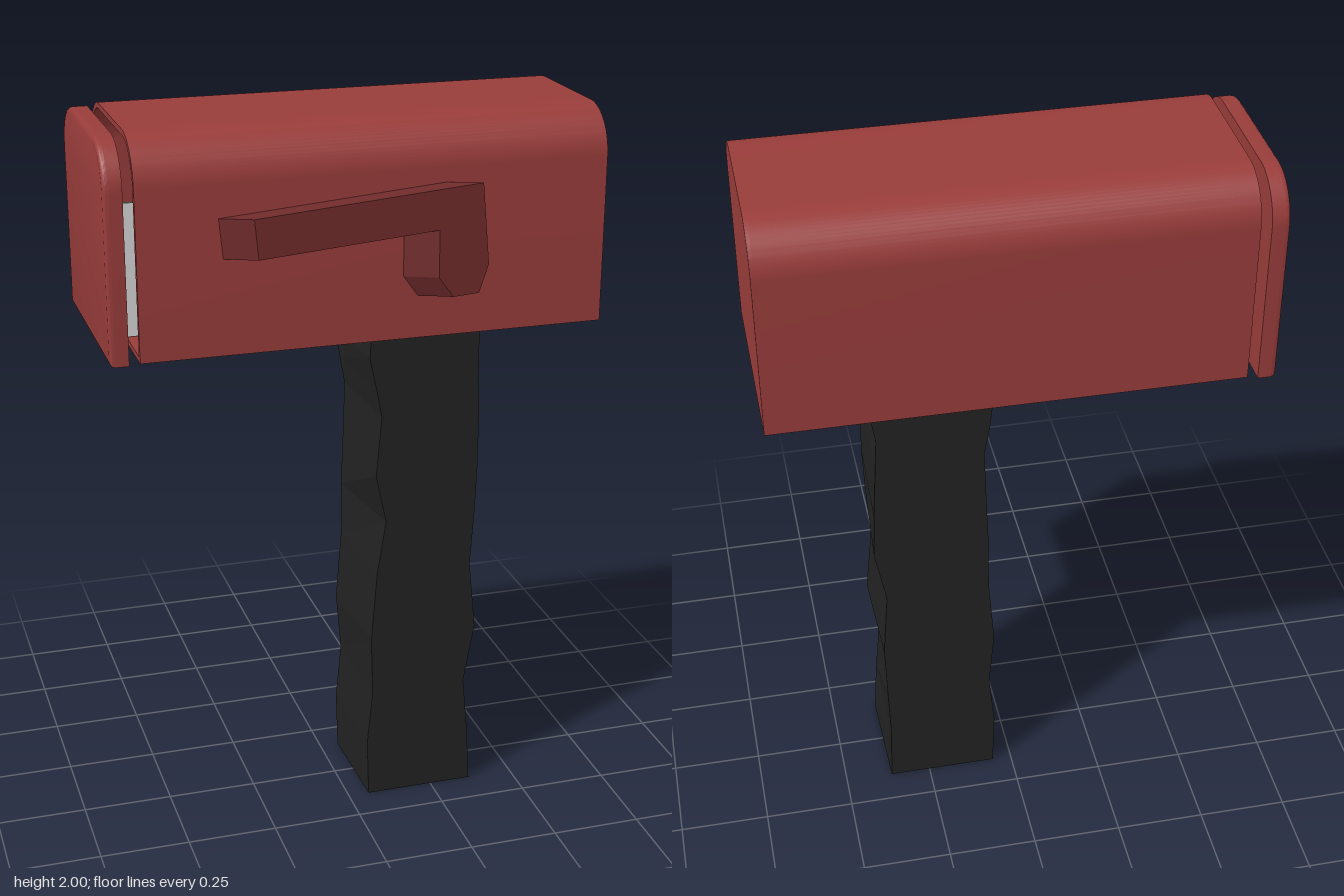
import * as THREE from 'three';
import { toCreasedNormals } from 'three/addons/utils/BufferGeometryUtils.js';

const red = new THREE.MeshStandardMaterial({ color: 0x993d3b });
const flagRed = new THREE.MeshStandardMaterial({ color: 0x702b2b });
const black = new THREE.MeshStandardMaterial({ color: 0x222222 });
const grey = new THREE.MeshStandardMaterial({ color: 0xcccccc });

const MID_Z = -0.025;

function addMesh(parent, name, geometry, material) {
  const mesh = new THREE.Mesh(geometry, material);
  mesh.name = name;
  parent.add(mesh);
  return mesh;
}

// Square section with rounded top corners, y from y0 to y1
function archPoints(Base, half, y0, y1, r) {
  const s = new Base();
  s.moveTo(-half, y0);
  s.lineTo(half, y0);
  s.lineTo(half, y1 - r);
  s.absarc(half - r, y1 - r, r, 0, Math.PI / 2, false);
  s.lineTo(-half + r, y1);
  s.absarc(-half + r, y1 - r, r, Math.PI / 2, Math.PI, false);
  s.closePath();
  return s;
}

// Extrude a section along +x
function extrudeX(shape, options) {
  const g = new THREE.ExtrudeGeometry(shape, { bevelEnabled: false, curveSegments: 10, ...options });
  return toCreasedNormals(g.rotateY(Math.PI / 2), 0.6);
}

// Wobbly hewn post: [y, frontLeftX, backLeftX, frontRightX, backRightX]
function postGeometry() {
  const rows = [
    [0, 0.06, 0.055, 0.37, 0.365],
    [0.17, 0.055, 0.05, 0.36, 0.36],
    [0.33, 0.07, 0.065, 0.345, 0.365],
    [0.5, 0.065, 0.05, 0.375, 0.37],
    [0.7, 0.08, 0.065, 0.355, 0.355],
    [0.86, 0.105, 0.065, 0.365, 0.385],
    [1.0, 0.075, 0.07, 0.37, 0.38],
    [1.17, 0.09, 0.075, 0.37, 0.37],
    [1.25, 0.075, 0.06, 0.365, 0.365],
    [1.34, 0.055, 0.05, 0.365, 0.38],
    [1.44, 0.06, 0.06, 0.365, 0.37],
  ];
  const n = rows.length - 1;
  const g = new THREE.BoxGeometry(1, 1, 1, 1, n, 1).toNonIndexed();
  const p = g.attributes.position;
  for (let i = 0; i < p.count; i++) {
    const row = rows[Math.round((p.getY(i) + 0.5) * n)];
    const front = p.getZ(i) > 0;
    const col = (p.getX(i) > 0 ? 3 : 1) + (front ? 0 : 1);
    p.setXYZ(i, row[col], row[0], front ? 0.145 : -0.155);
  }
  g.computeVertexNormals();
  return g;
}

// Signal flag: flat outline sheared sideways through its depth
function flagGeometry() {
  const outline = [
    [-0.30, 1.795], [-0.29, 1.69], [0.185, 1.73], [0.185, 1.605],
    [0.225, 1.55], [0.295, 1.555], [0.32, 1.63], [0.30, 1.845],
  ].map(([x, y]) => new THREE.Vector2(x, y));
  const depth = 0.06;
  const g = new THREE.ExtrudeGeometry(new THREE.Shape(outline), { depth, bevelEnabled: false });
  const p = g.attributes.position;
  for (let i = 0; i < p.count; i++) {
    const back = 1 - p.getZ(i) / depth;
    p.setX(i, p.getX(i) - 0.085 * back);
    p.setY(i, p.getY(i) - 0.006 * back);
  }
  g.translate(0, 0, 0.255);
  g.computeVertexNormals();
  return g;
}

export function createModel() {
  const model = new THREE.Group();
  model.name = 'mailbox';

  addMesh(model, 'post', postGeometry(), black);

  // Hollow box, open towards the lid
  const section = archPoints(THREE.Shape, 0.285, 1.43, 2, 0.125);
  section.holes.push(archPoints(THREE.Path, 0.27, 1.445, 1.985, 0.11));
  const body = addMesh(model, 'body', extrudeX(section, { depth: 1.24 }), red);
  body.position.set(-0.588, 0, MID_Z);

  const endShape = archPoints(THREE.Shape, 0.285, 1.43, 2, 0.125);
  const end = addMesh(model, 'endWall', extrudeX(endShape, { depth: 0.012 }), red);
  end.position.set(0.65, 0, MID_Z);

  // Lid: straight rim plus a softened outer edge
  const rim = archPoints(THREE.Shape, 0.285, 1.425, 1.992, 0.125);
  const lid = new THREE.Group();
  lid.name = 'lid';
  lid.position.z = MID_Z - 0.003;
  model.add(lid);
  addMesh(lid, 'lidRim', extrudeX(rim, { depth: 0.035 }), red).position.x = -0.65;
  const cap = archPoints(THREE.Shape, 0.285, 1.425, 1.992, 0.125);
  addMesh(lid, 'lidCap', extrudeX(cap, {
    depth: 0.01, bevelEnabled: true, bevelThickness: 0.014, bevelSize: 0.012,
    bevelOffset: -0.012, bevelSegments: 3,
  }), red).position.x = -0.65;

  // Letters poking out of the opening: [z, thickness, height, lean]
  const letters = [
    [-0.097, 0.024, 0.30, 0], [-0.046, 0.024, 0.32, 0],
    [0.0, 0.02, 0.33, 0], [0.062, 0.012, 0.345, -0.14],
  ];
  letters.forEach(([z, thickness, height, lean], i) => {
    const letter = addMesh(model, `letter${i + 1}`, new THREE.BoxGeometry(0.45, height, thickness), grey);
    letter.position.set(-0.387, 1.445 + height / 2, z);
    letter.rotation.x = lean;
  });

  addMesh(model, 'flag', flagGeometry(), flagRed);
  return model;
}
